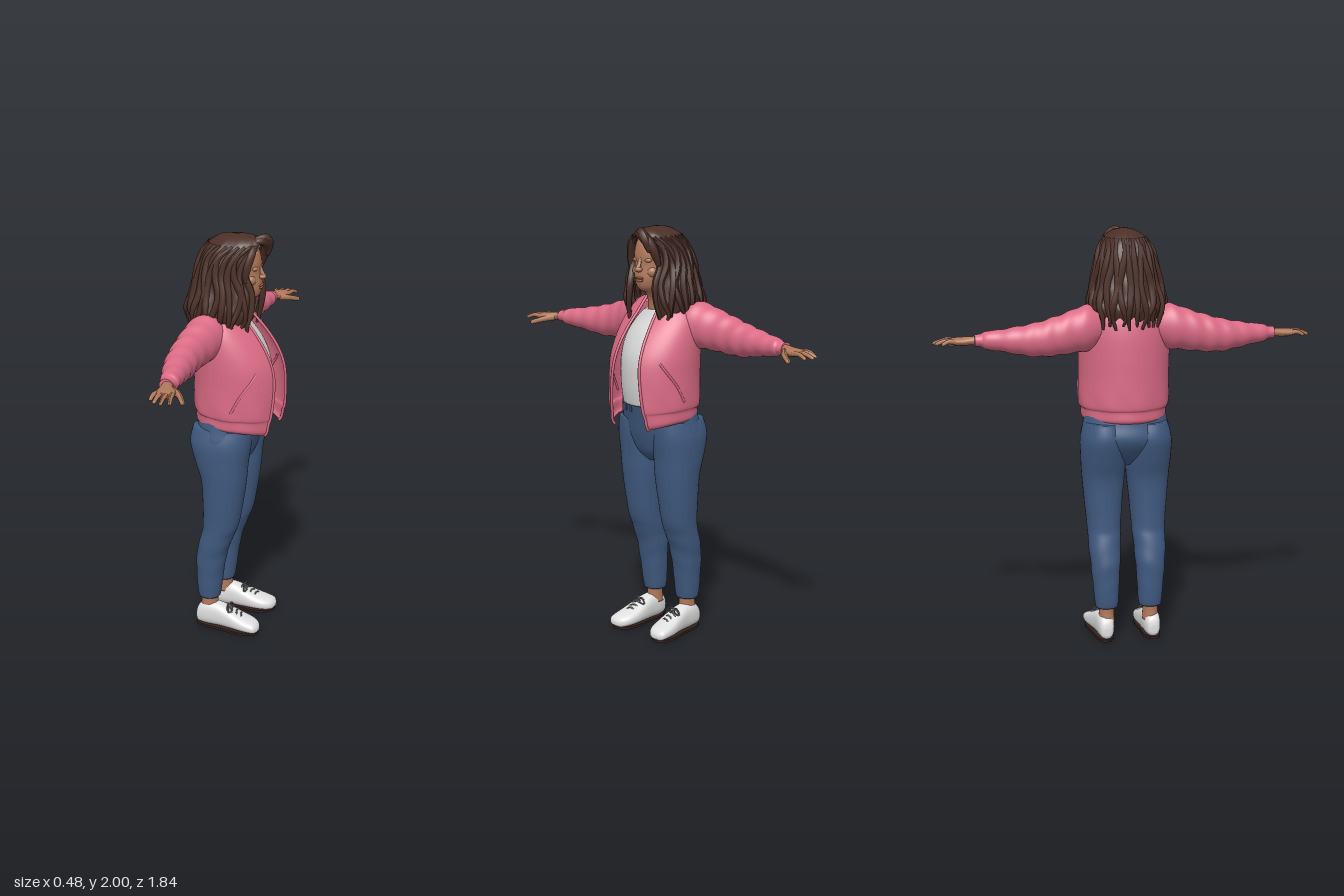
import * as THREE from 'three';
import { mergeVertices } from 'three/addons/utils/BufferGeometryUtils.js';

const V = (x, y, z) => new THREE.Vector3(x, y, z);
const mat = (name, color, side = THREE.FrontSide) => {
  const m = new THREE.MeshStandardMaterial({ color, side });
  m.name = name;
  return m;
};

// Catmull-Rom interpolation of every column of a table of cross-sections
function sample(rows, v) {
  const n = rows.length - 1, f = Math.min(Math.max(v, 0), 1) * n;
  const i = Math.min(Math.floor(f), n - 1), t = f - i;
  const a = rows[Math.max(i - 1, 0)], b = rows[i], c = rows[i + 1], d = rows[Math.min(i + 2, n)];
  return b.map((p, k) => p + 0.5 * t * (c[k] - a[k] + t * (2 * a[k] - 5 * p + 4 * c[k] - d[k]
    + t * (3 * (p - c[k]) + d[k] - a[k]))));
}

// axis y rows: [y, x0, x1, z0, z1, gap]; axis x: [x, z0, z1, y0, y1]; axis z: [z, y0, y1, x0, x1]
const AXES = { y: (a, s, b) => V(a, s, b), x: (a, s, b) => V(s, b, a), z: (a, s, b) => V(b, a, s) };
const spow = (x, e) => Math.sign(x) * Math.abs(x) ** e;

// Point on a lofted surface; u runs round the ring, v along the rows
function loftPoint(rows, u, v, { axis = 'y', e = 1, ripple, k = 1, shift } = {}) {
  const [s, a0, a1, b0, b1, gap = 0] = sample(rows, v);
  const ra = (a1 - a0) / 2, rb = (b1 - b0) / 2;
  const t0 = gap > 0 ? Math.asin(Math.min(1, (gap / ra) ** (1 / e))) : 0;
  const t = t0 + u * (2 * Math.PI - 2 * t0);
  const r = k * (ripple ? 1 + ripple(t, s, v) : 1);
  return AXES[axis]((a0 + a1) / 2 + ra * r * spow(Math.sin(t), e), s + (shift ? shift(t, v) : 0),
    (b0 + b1) / 2 + rb * r * spow(Math.cos(t), e));
}

function loft(rows, o = {}) {
  const { n = 36, m = rows.length * 5, cap = true } = o;
  const pos = [], idx = [], lo = cap ? -1 : 0, hi = cap ? m + 1 : m;
  for (let j = lo; j <= hi; j++)
    for (let i = 0; i <= n; i++)
      pos.push(...loftPoint(rows, i / n, j / m, { ...o, k: j < 0 || j > m ? 0 : 1 }).toArray());
  for (let j = 0; j < hi - lo; j++)
    for (let i = 0; i < n; i++) {
      const p = j * (n + 1) + i, q = p + n + 1;
      idx.push(p, p + 1, q, p + 1, q + 1, q);
    }
  let g = new THREE.BufferGeometry();
  g.setAttribute('position', new THREE.Float32BufferAttribute(pos, 3));
  g.setIndex(idx);
  g = mergeVertices(g, 1e-5);
  g.computeVertexNormals();
  return g;
}

// Tube along points, with an optional radius rule
function tube(points, r, taper, n = 16, m = 8) {
  const c = new THREE.CatmullRomCurve3(points), g = new THREE.TubeGeometry(c, n, r, m);
  if (taper) {
    const p = g.attributes.position, w = V();
    for (let i = 0; i < p.count; i++) {
      const f = Math.floor(i / (m + 1)) / n, o = c.getPointAt(f);
      w.fromBufferAttribute(p, i).sub(o).multiplyScalar(taper(f)).add(o);
      p.setXYZ(i, w.x, w.y, w.z);
    }
    g.computeVertexNormals();
  }
  return g;
}

function mirrored(g) {
  const h = g.clone().scale(-1, 1, 1), a = h.index.array;
  for (let i = 0; i < a.length; i += 3) [a[i], a[i + 1]] = [a[i + 1], a[i]];
  h.computeVertexNormals();
  return h;
}

const blob = (x, y, z, sx, sy, sz) => new THREE.SphereGeometry(1, 20, 14).scale(sx, sy, sz).translate(x, y, z);

export function createModel() {
  const skin = mat('skin', 0xb0785a), lip = mat('lips', 0x9c6450);
  const hair = mat('hair', 0x4b2f27, THREE.DoubleSide), pink = mat('jacket pink', 0xdb6b85, THREE.DoubleSide);
  const denim = mat('denim', 0x405a80), white = mat('shirt white', 0xd6d6d6), shoeWhite = mat('shoe white', 0xe0e0e0);
  const dark = mat('sole brown', 0x33211d), grey = mat('lace grey', 0x777777);

  // Built facing +z, then turned to face +x
  const body = new THREE.Group();
  body.name = 'woman';
  const add = (name, g, m) => {
    const mesh = new THREE.Mesh(g, m);
    mesh.name = name;
    body.add(mesh);
  };
  const pair = (name, g, m) => { add(name + 'Left', g, m); add(name + 'Right', mirrored(g), m); };

  // Jeans
  pair('trouserLeg', loft([
    [.165, .055, .162, -.14, -.035], [.2, .05, .167, -.146, -.028], [.3, .045, .176, -.15, -.015],
    [.4, .038, .185, -.148, .002], [.5, .032, .191, -.125, .035], [.56, .028, .192, -.114, .06],
    [.67, .02, .202, -.113, .082], [.8, .007, .213, -.12, .1], [.9, .001, .22, -.15, .11],
    [1, .002, .221, -.175, .125], [1.08, .02, .2, -.16, .13]],
  { e: .92, ripple: (t, y) => .018 * Math.sin(y * 55 + 2 * Math.sin(t)) * Math.exp(-(((y - .42) / .16) ** 2)) }), denim);
  add('hips', loft([
    [.87, -.03, .03, -.08, .06], [.92, -.16, .16, -.13, .1], [1, -.215, .215, -.178, .128],
    [1.08, -.206, .206, -.165, .145], [1.17, -.185, .185, -.15, .165]]), denim);
  for (const x of [.04, .08]) pair('beltLoop', new THREE.BoxGeometry(.01, .045, .01).translate(x, 1.145, .165 - x * .25), denim);

  // Shirt
  add('shirt', loft([
    [1.155, -.17, .17, -.15, .17], [1.25, -.18, .18, -.155, .182], [1.38, -.18, .18, -.155, .18],
    [1.48, -.17, .17, -.15, .142], [1.56, -.13, .13, -.12, .085], [1.605, -.075, .075, -.08, .06]]), white);

  // Jacket body, open at the front
  const jacketRows = [
    [1.085, .195, -.165, .23, .11], [1.1, .206, -.176, .242, .112], [1.14, .208, -.176, .246, .108],
    [1.165, .22, -.187, .25, .103], [1.3, .219, -.186, .25, .088], [1.4, .22, -.185, .23, .08],
    [1.5, .215, -.18, .172, .072], [1.58, .198, -.165, .105, .06], [1.64, .15, -.14, .055, .055],
    [1.67, .09, -.11, .035, .052]].map(([y, x, ...r]) => [y, -x, x, ...r]);
  const jacketOpt = {
    cap: false, n: 72, m: 50,
    shift: (t, v) => -.04 * Math.max(0, Math.cos(t)) ** 2 * Math.max(0, 1 - v * 2.2),
    ripple: (t, y) => .012 * Math.sin(9 * t + y * 8) * Math.exp(-(((y - 1.17) / .05) ** 2)),
  };
  add('jacket', loft(jacketRows, jacketOpt), pink);
  const onJacket = (u, v) => loftPoint(jacketRows, u, v, jacketOpt);
  const steps = [0, .1, .2, .3, .4, .5, .6, .7, .8, .9, 1];
  for (const [side, u] of [['Left', 0], ['Right', 1]])
    add('jacketEdge' + side, tube(steps.map(v => onJacket(u, v)), .007, null, 40), pink);
  pair('pocketTrim', tube([onJacket(.08, .53), onJacket(.11, .48), onJacket(.15, .42), onJacket(.18, .36)], .006), pink);
  add('collar', tube(steps.map(f => onJacket(f, 1)), .012, null, 40), pink);

  // Sleeves with soft folds and a ribbed cuff
  pair('sleeve', loft([
    [.12, -.13, .03, 1.47, 1.62], [.19, -.163, .02, 1.43, 1.648], [.25, -.17, 0, 1.425, 1.632],
    [.35, -.172, -.024, 1.415, 1.598], [.45, -.165, -.025, 1.412, 1.57], [.55, -.14, -.02, 1.428, 1.55],
    [.63, -.112, -.015, 1.442, 1.536], [.675, -.098, -.01, 1.447, 1.532], [.695, -.088, -.015, 1.459, 1.52],
    [.725, -.084, -.016, 1.461, 1.518]],
  { axis: 'x', m: 80, ripple: (t, x) => x > .69 ? 0 : .035 * Math.sin(x * 72 + 2.2 * Math.sin(t)) * Math.min(1, Math.max(0, (x - .15) * 5)) }), pink);

  // Hands
  pair('palm', loft([
    [.7, -.072, -.022, 1.467, 1.511], [.74, -.07, -.014, 1.468, 1.508], [.775, -.07, .014, 1.464, 1.505],
    [.815, -.069, .022, 1.467, 1.502], [.84, -.062, .018, 1.472, 1.497]], { axis: 'x', n: 20 }), skin);
  const fingers = [[-.058, .878, -.064], [-.035, .908, -.036], [-.01, .918, -.002], [.012, .9, .034]];
  const fingertip = f => 1 - .35 * f - (f > .95 ? .6 : 0);
  fingers.forEach(([z, tx, tz], i) => pair('finger' + (i + 1),
    tube([V(.81, 1.485, z), V((.81 + tx) / 2, 1.488, (z + tz) / 2), V(tx, 1.472, tz)], .0125, fingertip), skin));
  pair('thumb', tube([V(.745, 1.483, -.015), V(.78, 1.474, .03), V(.835, 1.455, .07)], .0165, fingertip), skin);

  // Head, neck and face
  add('head', loft([
    [1.56, .06, -.065, .05], [1.64, .052, -.055, .052], [1.685, .05, -.055, .075], [1.7, .046, -.055, .112],
    [1.72, .062, -.06, .13], [1.76, .077, -.08, .138], [1.82, .086, -.1, .132], [1.88, .088, -.1, .132],
    [1.94, .075, -.09, .112], [1.975, .03, -.04, .06]].map(([y, x, ...r]) => [y, -x, x, ...r]), { e: .92 }), skin);
  add('noseBridge', tube([V(0, 1.858, .126), V(0, 1.825, .138), V(0, 1.803, .147)], .012, f => .6 + .4 * f), skin);
  add('noseTip', blob(0, 1.802, .142, .019, .013, .018), skin);
  pair('cheek', blob(.042, 1.79, .098, .03, .028, .026), skin);
  pair('eyelid', blob(.036, 1.845, .116, .02, .011, .014), skin);
  add('upperLip', blob(0, 1.761, .135, .026, .006, .01), lip);
  add('lowerLip', blob(0, 1.75, .134, .022, .007, .01), lip);

  // Hair shell with a face opening and waves
  const hairRows = [
    [1.6, .165, -.212, .125, .09], [1.64, .18, -.222, .138, .085], [1.7, .168, -.2, .142, .076],
    [1.78, .15, -.18, .122, .082], [1.85, .138, -.164, .112, .083], [1.9, .125, -.15, .125, .07],
    [1.94, .108, -.132, .142, .045], [1.967, .085, -.1, .14, .012], [1.988, .05, -.06, .105, 0],
    [1.998, .008, -.005, .03, 0]].map(([y, x, ...r]) => [y, -x, x, ...r]);
  const hairOpt = {
    n: 110, m: 55, cap: false,
    ripple: (t, y, v) => (1 - v) * (.035 * Math.sin(13 * t + 26 * y) + .022 * Math.sin(23 * t - 38 * y)) + .01 * Math.sin(9 * t),
    shift: (t, v) => -.025 * Math.abs(Math.sin(8 * t)) * Math.max(0, 1 - v * 8),
  };
  add('hairShell', loft(hairRows, hairOpt), hair);
  const onHair = (u, v) => loftPoint(hairRows, u, v, hairOpt);
  const taper = f => .12 + .88 * Math.sin(Math.PI * Math.min(1, f * .9 + .05)) ** .7;

  // Wavy locks lying on the shell, hanging past its edge
  for (let i = 0; i < 26; i++) {
    const u = (i + .1) / 25.2, w = .018 * Math.sin(i * 2.4), end = onHair(u, 0);
    const drop = .025 + .02 * Math.abs(Math.sin(i * 1.7));
    const path = [.72, .55, .4, .27, .13, .03].map((v, j) =>
      onHair(Math.min(1, Math.max(0, u + w * Math.sin(j * 1.6))), v));
    path.push(V(end.x * .96, end.y - drop, end.z * .95));
    add('hairLock' + (i + 1), tube(path, .017, taper, 22, 7), hair);
  }
  // Side-swept fringe
  add('fringeSweep', tube([V(-.045, 1.955, .1), V(0, 1.968, .135), V(.045, 1.95, .145), V(.078, 1.9, .125), V(.092, 1.82, .1)], .026, taper, 24), hair);
  add('fringeCurl', tube([V(-.02, 1.97, .1), V(.025, 1.976, .148), V(.055, 1.945, .153), V(.07, 1.885, .143)], .023, taper, 24), hair);
  add('fringeSide', tube([V(-.03, 1.965, .11), V(-.065, 1.93, .115), V(-.088, 1.87, .1), V(-.098, 1.79, .09)], .02, taper, 24), hair);

  // Ankles and shoes
  pair('ankle', loft([[.09, .07, .15, -.135, -.04], [.14, .072, .146, -.128, -.045], [.2, .07, .147, -.13, -.043]], { n: 20 }), skin);
  pair('shoe', loft([
    [-.152, .03, .07, .1, .132], [-.14, .014, .105, .084, .148], [-.1, .008, .132, .073, .157],
    [-.04, .008, .132, .07, .162], [.02, .008, .113, .065, .172], [.08, .008, .088, .063, .183],
    [.13, .008, .072, .07, .186], [.165, .01, .058, .09, .18], [.18, .02, .04, .118, .155]],
  { axis: 'z', e: .8, n: 32 }), shoeWhite);
  const outline = new THREE.Shape();
  outline.moveTo(.1, .148);
  outline.splineThru([[.076, .1], [.074, 0], [.066, -.08], [.08, -.14], [.13, -.175], [.17, -.155],
    [.182, -.09], [.168, 0], [.156, .1], [.135, .148], [.1, .148]].map(p => new THREE.Vector2(...p)));
  const sole = mergeVertices(new THREE.ExtrudeGeometry(outline, { depth: .012, bevelEnabled: false, curveSegments: 40 }));
  pair('sole', sole.rotateX(-Math.PI / 2), dark);

  // Laces and bow
  for (let i = 0; i < 4; i++) {
    const z = .005 + i * .024, y = .122 - i * .0105;
    pair('lace' + (i + 1), tube([V(.088, y - .016, z), V(.118, y + .001, z + .006), V(.15, y - .016, z + .014)], .004, null, 10, 6), grey);
  }
  for (const s of [-1, 1])
    pair(s < 0 ? 'bowInner' : 'bowOuter', tube([V(.118, .12, .012), V(.118 + s * .022, .13, .022),
      V(.118 + s * .044, .104, .03), V(.118 + s * .026, .112, .04), V(.118, .116, .018)], .0035, null, 18, 6), grey);

  body.rotation.y = Math.PI / 2;
  const model = new THREE.Group();
  model.name = 'standingWoman';
  model.add(body);
  return model;
}
